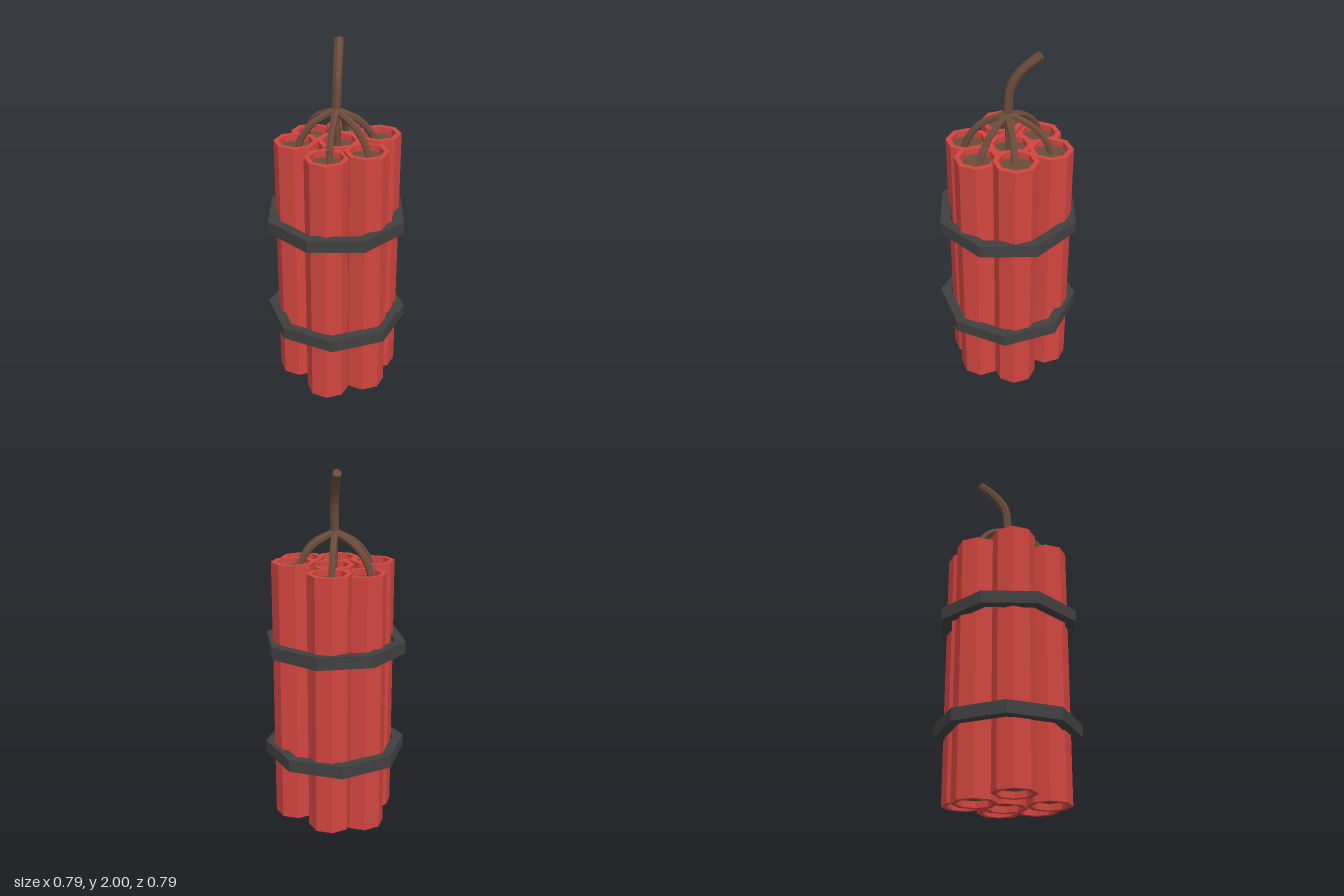
import * as THREE from 'three';

const material = (color) => new THREE.MeshStandardMaterial({ color, flatShading: true });
const V = (x, y, z) => new THREE.Vector3(x, y, z);

// Six-sided cord through the points, with both ends closed flat.
function cord(name, points, radius, segments, mat) {
  const curve = new THREE.CatmullRomCurve3(points);
  const sides = 6;
  const geo = new THREE.TubeGeometry(curve, segments, radius, sides, false);
  const pos = geo.attributes.position;
  const v = V(0, 0, 0);
  for (const [inner, end, t] of [[1, 0, 0], [segments - 1, segments, 1]]) {
    const tip = curve.getPointAt(t);
    const shift = tip.clone().sub(curve.getPointAt(inner / segments));
    for (let j = 0; j <= sides; j++) {
      const i = inner * (sides + 1) + j;
      v.fromBufferAttribute(pos, i).add(shift);
      pos.setXYZ(i, v.x, v.y, v.z);
      pos.setXYZ(end * (sides + 1) + j, tip.x, tip.y, tip.z);
    }
  }
  const mesh = new THREE.Mesh(geo, mat);
  mesh.name = name;
  return mesh;
}

export function createModel() {
  const model = new THREE.Group();
  model.name = 'stickBundle';
  const red = material(0xd0453f);
  const brown = material(0x6b4b3a);
  const dark = material(0x404040);

  // Sticks: x, z, bottom, top, then the x, z where the fuse enters
  const sticks = [
    [-0.125, -0.197, 0.03, 1.48, -0.14, -0.2],
    [0.125, -0.197, 0.035, 1.51, 0.12, -0.19],
    [-0.214, -0.017, 0.0, 1.465, -0.25, 0.01],
    [0.225, -0.012, 0.03, 1.49, 0.235, -0.03],
    [0, -0.02, 0.01, 1.48, 0, -0.01],
    [-0.125, 0.175, 0.03, 1.49, -0.125, 0.175],
    [0.125, 0.175, 0.01, 1.475, 0.15, 0.185],
  ];
  const R = 0.12, r = 0.092, recess = 0.035;

  for (const [x, z, bottom, top, fx, fz] of sticks) {
    const stick = new THREE.Group();
    stick.name = 'stick';
    const h = top - bottom;

    // Casing with a raised rim at both ends
    const profile = [[r, recess], [r, 0], [R, 0], [R, h], [r, h], [r, h - recess]]
      .map(([px, py]) => new THREE.Vector2(px, py));
    const casing = new THREE.Mesh(new THREE.LatheGeometry(profile, 8), red);
    casing.name = 'casing';

    // Filling, sunk below the rims
    const core = new THREE.Mesh(new THREE.CylinderGeometry(r, r, h - 2 * recess, 8), brown);
    core.name = 'filling';
    core.position.y = h / 2;

    stick.add(casing, core);
    stick.position.set(x, bottom, z);
    model.add(stick);

    // Fuse branch arching from the knot down into the stick
    model.add(cord('fuseBranch', [
      V(0, 1.655, 0),
      V(fx * 0.55, 1.59, fz * 0.55),
      V(fx * 0.85, 1.51, fz * 0.85),
      V(fx, top - recess - 0.02, fz),
    ], 0.019, 8, brown));
  }

  // Main fuse
  model.add(cord('mainFuse', [
    V(0, 1.64, 0), V(0, 1.72, -0.005), V(-0.008, 1.81, -0.015),
    V(-0.045, 1.9, -0.055), V(-0.113, 1.985, -0.122),
  ], 0.025, 9, brown));

  // Octagonal straps: height of the lower edge and turn
  for (const [y, degrees] of [[0.385, 0], [1.0, 19.5]]) {
    const section = [[0.338, 0], [0.397, 0], [0.397, 0.07], [0.338, 0.07], [0.338, 0]]
      .map(([px, py]) => new THREE.Vector2(px, py));
    const strap = new THREE.Mesh(new THREE.LatheGeometry(section, 8), dark);
    strap.name = 'strap';
    strap.position.y = y;
    strap.rotation.y = -THREE.MathUtils.degToRad(degrees);
    model.add(strap);
  }

  return model;
}
